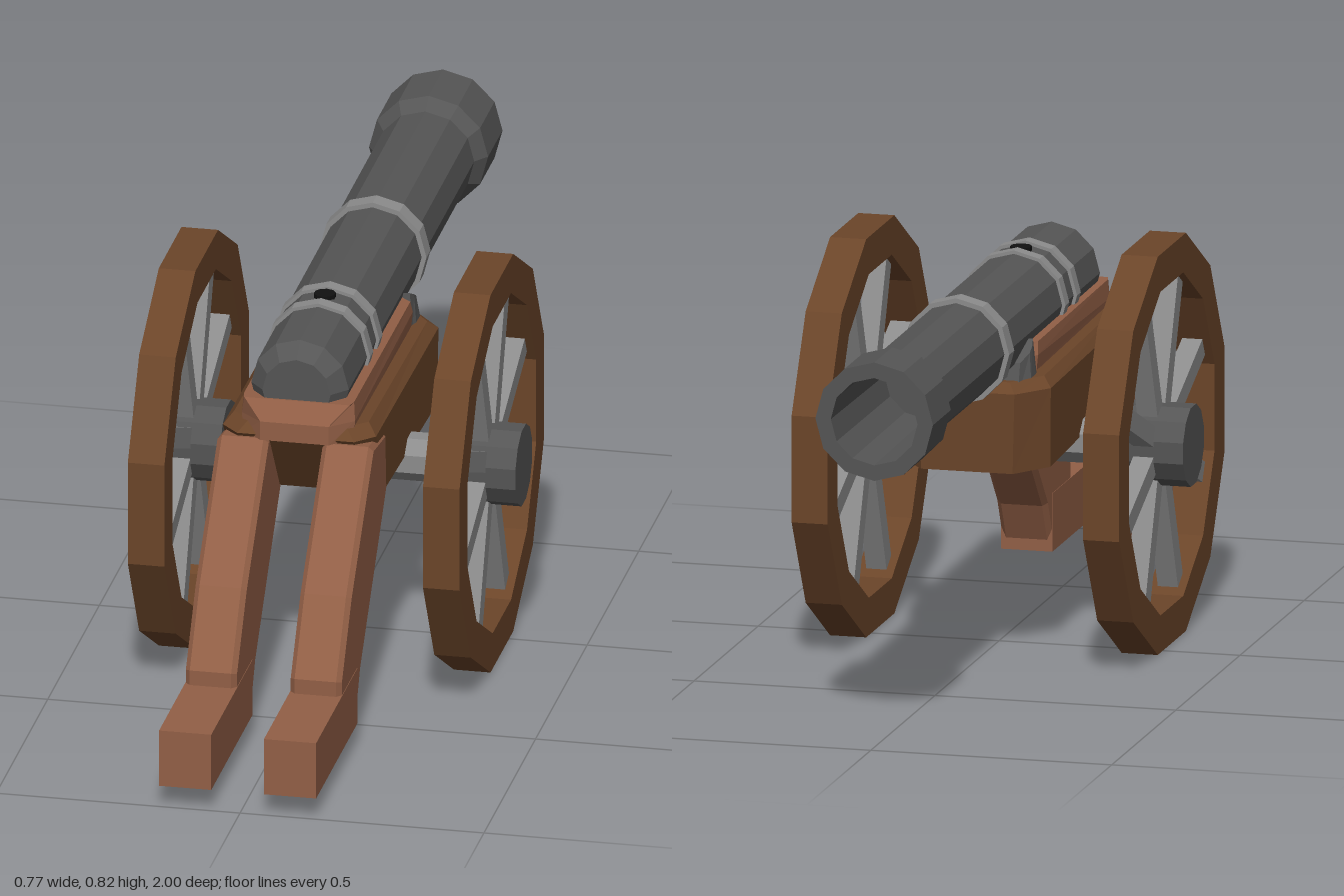
import * as THREE from 'three';

const mat = (color, side = THREE.FrontSide) =>
  new THREE.MeshStandardMaterial({ color, flatShading: true, side });
const iron = mat(0x555555), ironOpen = mat(0x555555, THREE.DoubleSide);
const steel = mat(0x8c8c8c), black = mat(0x111111);
const darkWood = mat(0x6b4529), wood = mat(0x925f46);

const AXLE_Y = 0.41, AXLE_Z = 0.07, BARREL_Y = 0.677, BARREL_X = -0.007, BODY_X = -0.005;

function add(parent, name, geo, material, x = 0, y = 0, z = 0) {
  const m = new THREE.Mesh(geo, material);
  m.name = name;
  m.position.set(x, y, z);
  parent.add(m);
  return m;
}

function polygon(target, radius, sides, offset) {
  const pts = [];
  for (let i = 0; i < sides; i++) {
    const a = (i / sides) * Math.PI * 2 + offset;
    pts.push(new THREE.Vector2(radius * Math.cos(a), radius * Math.sin(a)));
  }
  return target.setFromPoints(pts);
}

// Block with chamfered corners in plan, lofted through levels from bottom to top.
// w: half width, f / b: front-most (-z) and rear (+z) ends, wf / wb: half widths of those
// ends, c / d: chamfer lengths, yf: height at the -z end, yb: height at the +z end.
function loft(levels) {
  const rings = levels.map(l => {
    const plan = [[l.wf, l.f], [l.w, l.f + l.c], [l.w, l.b - l.d], [l.wb, l.b],
      [-l.wb, l.b], [-l.w, l.b - l.d], [-l.w, l.f + l.c], [-l.wf, l.f]];
    return plan.map(([x, z]) => [x, l.yf + (l.yb - l.yf) * (z - l.f) / (l.b - l.f), z]);
  });
  const pos = rings.flat(2), idx = [], n = 8, top = (rings.length - 1) * n;
  for (let r = 0; r < rings.length - 1; r++) {
    for (let i = 0; i < n; i++) {
      const a = r * n + i, b = r * n + (i + 1) % n;
      idx.push(a, a + n, b, b, a + n, b + n);
    }
  }
  for (let i = 1; i < n - 1; i++) {
    idx.push(0, i, i + 1, top, top + i + 1, top + i);
  }
  const g = new THREE.BufferGeometry();
  g.setAttribute('position', new THREE.Float32BufferAttribute(pos, 3));
  g.setIndex(idx);
  g.computeVertexNormals();
  return g;
}

// Twelve-sided turned form along the gun's axis, profile given as [radius, distance toward -z]
const turned = profile =>
  new THREE.LatheGeometry(profile.map(p => new THREE.Vector2(...p)), 12).rotateX(-Math.PI / 2);

function makeBarrel() {
  const g = new THREE.Group();
  g.name = 'gun';
  g.position.set(BARREL_X, BARREL_Y, 0);
  add(g, 'barrel', turned([[0, -0.42], [0.07, -0.42], [0.1, -0.385], [0.1, 0.83],
    [0.122, 0.86], [0.122, 1], [0.09, 1], [0.085, 0.6], [0, 0.6]]), ironOpen);
  // Raised bands: [start, end, radius]
  for (const [a, b, r] of [[0.32, 0.36, 0.11], [-0.12, -0.09, 0.107], [-0.21, -0.18, 0.107]]) {
    add(g, 'barrelBand', turned([[0.095, a], [r, a], [r, b], [0.095, b]]), steel);
  }
  add(g, 'touchHole', new THREE.CylinderGeometry(0.022, 0.022, 0.02, 10), black, 0, 0.094, 0.145);
  return g;
}

function makeWheel(side) {
  const g = new THREE.Group();
  g.name = side > 0 ? 'leftWheel' : 'rightWheel';
  g.position.set(side * 0.3025, AXLE_Y, AXLE_Z);
  // Rim
  const shape = polygon(new THREE.Shape(), 0.4245, 12, Math.PI / 12);
  shape.holes.push(polygon(new THREE.Path(), 0.345, 12, Math.PI / 12));
  const rim = new THREE.ExtrudeGeometry(shape, { depth: 0.075, bevelEnabled: false });
  rim.translate(0, 0, -0.0375).rotateY(Math.PI / 2);
  add(g, 'rim', rim, darkWood);
  // Spokes
  for (let i = 0; i < 8; i++) {
    const spoke = new THREE.BoxGeometry(0.042, 0.29, 0.042);
    spoke.translate(0, 0.2, 0).rotateX((i + 0.5) * Math.PI / 4);
    add(g, 'spoke', spoke, steel);
  }
  // Hub
  const hub = new THREE.CylinderGeometry(0.084, 0.084, 0.165, 12, 1);
  hub.rotateY(Math.PI / 12).rotateZ(Math.PI / 2);
  add(g, 'hub', hub, iron);
  return g;
}

function makeTrail(x) {
  const g = new THREE.Group();
  g.name = 'trail';
  g.position.x = x;
  // Sloping leg with bevelled edges, drawn as (z, y)
  const bevel = 0.01;
  const leg = new THREE.Shape([[0.75, 0.155], [0.75, 0.195], [0.655, 0.34], [0.44, 0.575],
    [0.32, 0.56], [0.31, 0.44], [0.565, 0.15], [0.61, 0.06], [0.7, 0.06]]
    .map(p => new THREE.Vector2(...p)));
  const geo = new THREE.ExtrudeGeometry(leg, { depth: 0.105 - 2 * bevel, bevelThickness: bevel,
    bevelSize: bevel, bevelOffset: -bevel / 2, bevelSegments: 1 });
  geo.translate(0, 0, -0.0525 + bevel).rotateY(-Math.PI / 2);
  add(g, 'trailLeg', geo, wood);
  add(g, 'trailFoot', new THREE.BoxGeometry(0.107, 0.12, 0.4), wood, 0, 0.105, 0.8);
  return g;
}

export function createModel() {
  const model = new THREE.Group();
  model.name = 'fieldCannon';

  model.add(makeBarrel());
  for (const s of [1, -1]) model.add(makeWheel(s));
  for (const s of [1, -1]) model.add(makeTrail(BODY_X + s * 0.1075));

  // Axle
  const axle = new THREE.CylinderGeometry(0.049, 0.049, 0.6, 8);
  axle.rotateY(Math.PI / 8).rotateZ(Math.PI / 2);
  add(model, 'axle', axle, steel, 0, AXLE_Y, AXLE_Z);

  // Carriage body with chamfered top edge
  add(model, 'carriageBody', loft([
    { yf: 0.41, yb: 0.435, w: 0.155, wf: 0.095, wb: 0.12, f: -0.27, b: 0.33, c: 0.07, d: 0.04 },
    { yf: 0.575, yb: 0.587, w: 0.157, wf: 0.1, wb: 0.12, f: -0.275, b: 0.44, c: 0.07, d: 0.04 },
    { yf: 0.595, yb: 0.61, w: 0.138, wf: 0.085, wb: 0.1, f: -0.255, b: 0.42, c: 0.07, d: 0.04 },
  ]), darkWood, BODY_X);

  // Bed that carries the barrel
  add(model, 'barrelBed', loft([
    { yf: 0.6, yb: 0.58, w: 0.113, wf: 0.08, wb: 0.07, f: -0.18, b: 0.45, c: 0.03, d: 0.04 },
    { yf: 0.63, yb: 0.62, w: 0.116, wf: 0.08, wb: 0.07, f: -0.18, b: 0.45, c: 0.03, d: 0.04 },
    { yf: 0.655, yb: 0.66, w: 0.113, wf: 0.08, wb: 0.108, f: -0.17, b: 0.425, c: 0.03, d: 0.02 },
  ]), wood, BODY_X);

  // Iron cradle under the barrel
  add(model, 'cradle', loft([
    { yf: 0.56, yb: 0.56, w: 0.122, wf: 0.1, wb: 0.115, f: -0.25, b: -0.15, c: 0.03, d: 0.02 },
    { yf: 0.63, yb: 0.665, w: 0.112, wf: 0.1, wb: 0.108, f: -0.23, b: -0.16, c: 0.03, d: 0.02 },
  ]), iron, BODY_X);

  return model;
}
